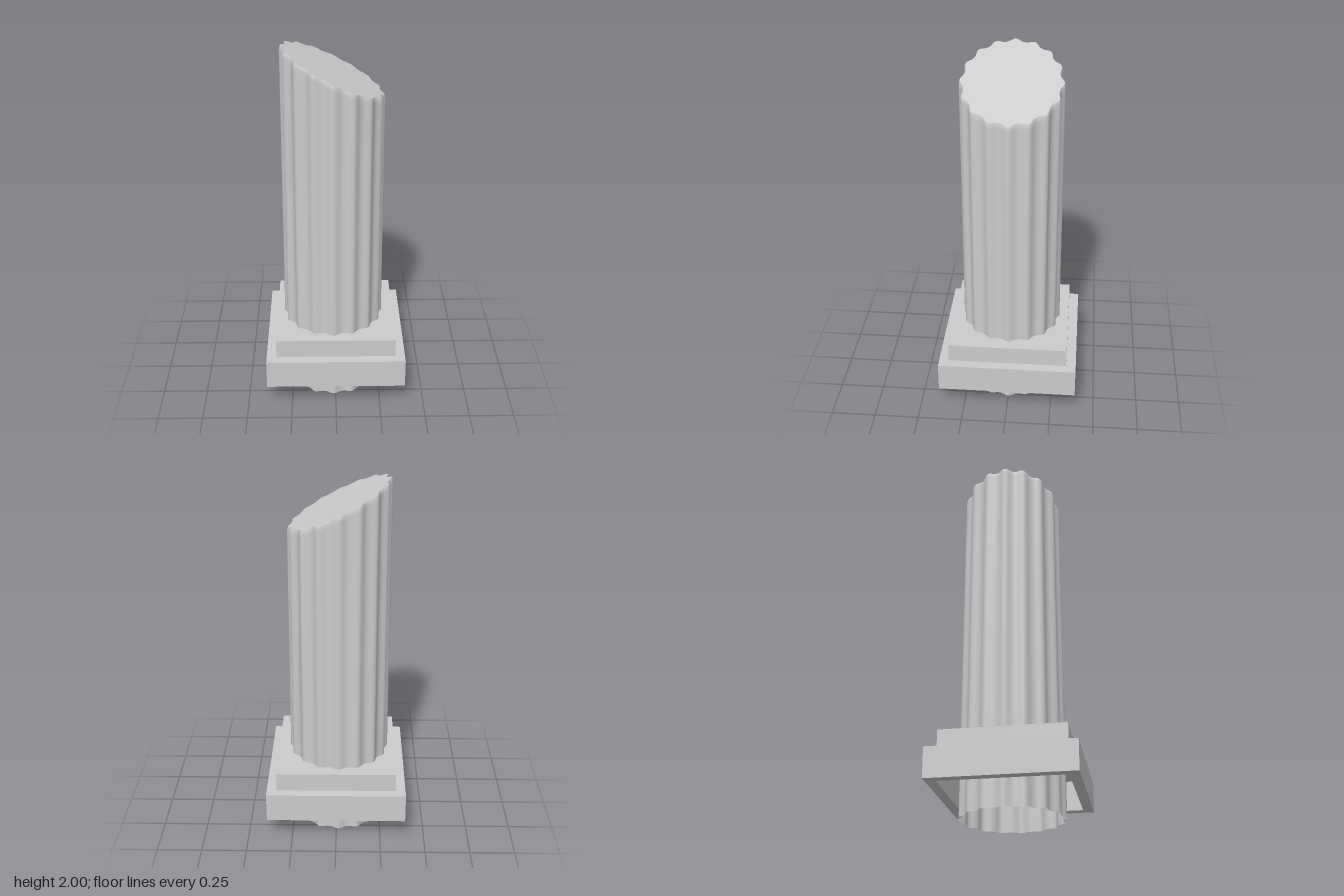
import * as THREE from 'three';

const FLUTES = 16, SEGMENTS = FLUTES * 10, CENTER_X = -0.012;

// Height of the slanted break above a given x
const cutHeight = (x) => 2 - (x + 0.285) * 0.494;

// Fluted outline: narrow rounded ridges, wide shallow valleys
function outline(i, shrink) {
  const a = (i / SEGMENTS) * Math.PI * 2;
  const r = 0.264 + 0.019 * Math.pow(0.5 + 0.5 * Math.cos(FLUTES * a), 1.3) - shrink;
  return [CENTER_X + r * Math.cos(a), r * Math.sin(a)];
}

function makeGeometry(positions, index) {
  const g = new THREE.BufferGeometry();
  g.setAttribute('position', new THREE.Float32BufferAttribute(positions, 3));
  g.setIndex(index);
  g.computeVertexNormals();
  return g;
}

// Shaft wall: rings lofted from the ground to the break, [height fraction, shrink, drop]
function shaftGeometry() {
  const rings = [[0, 0, 0], [0.25, 0.001, 0], [0.5, 0.002, 0], [0.75, 0.003, 0],
    [1, 0.004, 0.03], [1, 0.006, 0.01], [1, 0.01, 0]];
  const positions = [], index = [];
  rings.forEach(([t, shrink, drop], k) => {
    for (let i = 0; i < SEGMENTS; i++) {
      const [x, z] = outline(i, shrink);
      positions.push(x, t * cutHeight(x) - drop, z);
      if (k === 0) continue;
      const j = (i + 1) % SEGMENTS, lo = (k - 1) * SEGMENTS, hi = k * SEGMENTS;
      index.push(lo + i, hi + i, lo + j, lo + j, hi + i, hi + j);
    }
  });
  return makeGeometry(positions, index);
}

// Flat slanted face closing the top
function breakGeometry() {
  const positions = [CENTER_X, cutHeight(CENTER_X), 0], index = [];
  for (let i = 0; i < SEGMENTS; i++) {
    const [x, z] = outline(i, 0.01);
    positions.push(x, cutHeight(x), z);
    index.push(0, 1 + ((i + 1) % SEGMENTS), 1 + i);
  }
  return makeGeometry(positions, index);
}

// Square slab with a hole through it, lying flat from y0 to y1
function slabGeometry(half, hole, y0, y1) {
  const shape = new THREE.Shape([[-1, -1], [1, -1], [1, 1], [-1, 1]]
    .map(([x, y]) => new THREE.Vector2(x * half, y * half)));
  shape.holes.push(hole);
  const g = new THREE.ExtrudeGeometry(shape, { depth: y1 - y0, bevelEnabled: false, curveSegments: 32 });
  return g.rotateX(-Math.PI / 2).translate(0, y0, 0);
}

export function createModel() {
  const group = new THREE.Group();
  group.name = 'brokenColumn';
  const material = new THREE.MeshStandardMaterial({ color: 0xcccccc, side: THREE.DoubleSide });
  const add = (name, geometry) => {
    const mesh = new THREE.Mesh(geometry, material);
    mesh.name = name;
    group.add(mesh);
  };

  add('flutedShaft', shaftGeometry());
  add('slantedBreak', breakGeometry());

  // Upper slab hugs the shaft
  const round = new THREE.Path().absarc(CENTER_X, 0, 0.26, 0, Math.PI * 2, true);
  add('upperPlinth', slabGeometry(0.335, round, 0.295, 0.4));

  // Lower slab is a hollow square frame
  const h = 0.334;
  const square = new THREE.Path([[-h, -h], [-h, h], [h, h], [h, -h]]
    .map(([x, y]) => new THREE.Vector2(x, y)));
  add('lowerPlinth', slabGeometry(0.39, square, 0.13, 0.295));

  return group;
}
